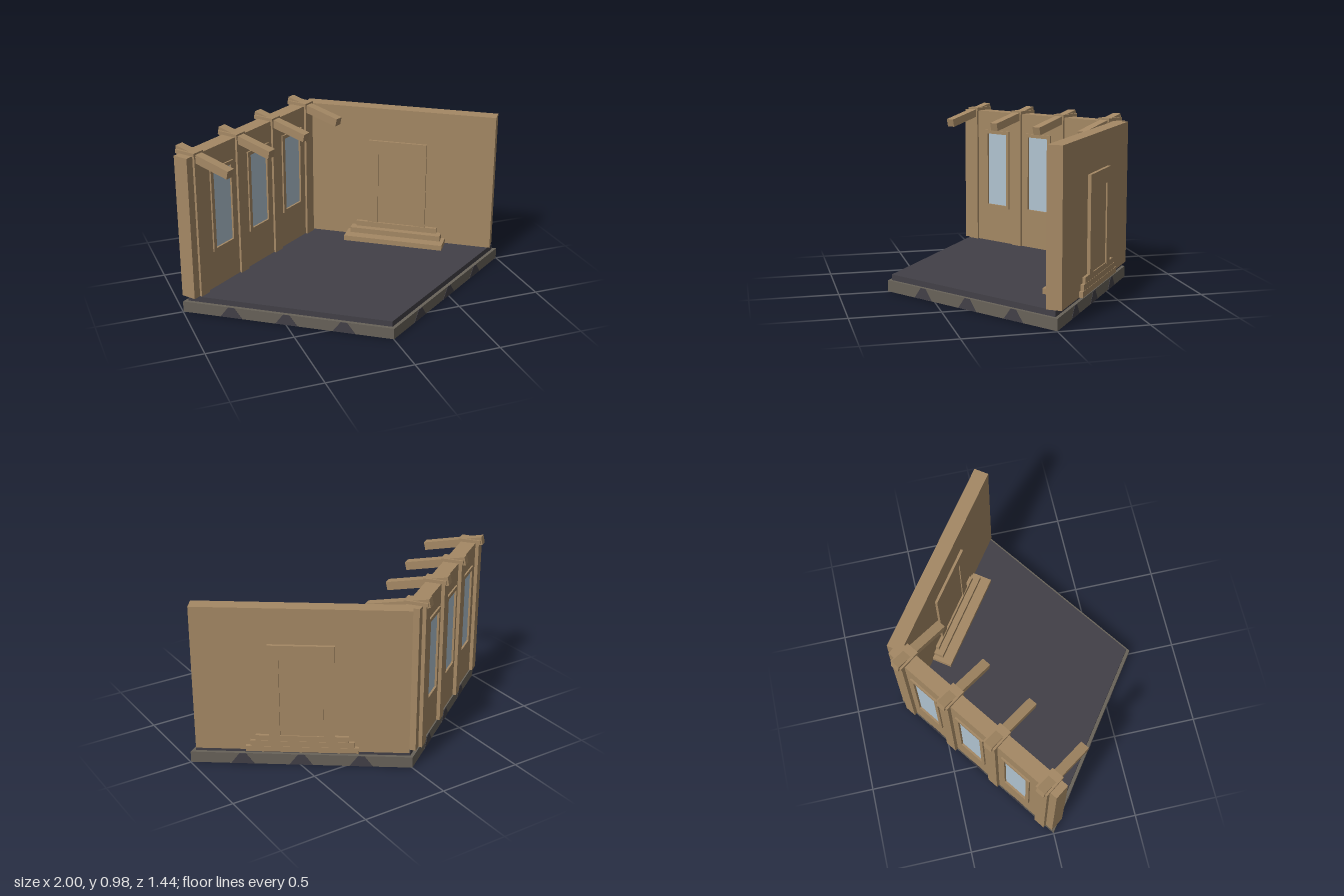
import * as THREE from 'three';

const mat = (name, color) => {
  const m = new THREE.MeshStandardMaterial({ color });
  m.name = name;
  return m;
};

export function createModel() {
  const model = new THREE.Group();
  model.name = 'roomCorner';
  const plaster = mat('sandPlaster', 0xa48864);
  const floorMat = mat('darkFloor', 0x424047);
  const stone = mat('greyStone', 0x686259);
  const glass = mat('paleGlass', 0xb0c3d0);
  const DEPTH = 0.72;               // z to x ratio of the diamond plan
  const TURN = Math.atan(DEPTH);    // direction of the plan edges

  const add = (parent, name, geo, material, x = 0, y = 0, z = 0) => {
    const m = new THREE.Mesh(geo, material);
    m.name = name;
    m.position.set(x, y, z);
    parent.add(m);
    return m;
  };
  // Box given by its limits
  const box = (parent, name, material, x0, x1, y0, y1, z0, z1) =>
    add(parent, name, new THREE.BoxGeometry(x1 - x0, y1 - y0, z1 - z0), material,
      (x0 + x1) / 2, (y0 + y1) / 2, (z0 + z1) / 2);
  const rect = (Type, x0, x1, y0, y1) => new Type([
    [x0, y0], [x1, y0], [x1, y1], [x0, y1]].map(p => new THREE.Vector2(...p)));
  const extrude = (shape, depth) =>
    new THREE.ExtrudeGeometry(shape, { depth, bevelEnabled: false });

  // Diamond slabs
  const slab = (name, r, y0, y1, material) => {
    const g = new THREE.CylinderGeometry(r, r, y1 - y0, 4).toNonIndexed();
    g.scale(1, 1, DEPTH);
    g.computeVertexNormals();
    add(model, name, g, material, 0, (y0 + y1) / 2, 0);
  };
  slab('stoneBase', 0.998, 0.002, 0.067, stone);
  slab('floor', 0.965, 0.067, 0.1, floorMat);

  // Dark patches along the four base edges
  const patch = new THREE.Shape([[-0.065, 0.003], [0.065, 0.003], [0.018, 0.066], [-0.018, 0.066]]
    .map(p => new THREE.Vector2(...p)));
  for (const sx of [-1, 1]) for (const sz of [-1, 1]) for (const t of [0.236, 0.5, 0.77]) {
    const p = add(model, 'basePatch', extrude(patch, 0.002), floorMat,
      sx * (1 - t) * 0.998, 0, sz * t * DEPTH * 0.998);
    p.rotation.y = Math.atan2(sx * DEPTH, sz);
  }

  // Wavy dark bands under the base
  for (let i = 0; i < 5; i++) {
    const g = new THREE.PlaneGeometry(1, 1, 24, 1);
    const pos = g.attributes.position;
    for (let k = 0; k < pos.count; k++) {
      const a = pos.getX(k) * 1.9;
      const half = 0.1 + 0.05 * Math.sin(a * 4 + i * 2);
      const b = -0.76 + i * 0.38 + 0.07 * Math.sin(a * 3 + i) + Math.sign(pos.getY(k)) * half;
      pos.setXYZ(k, (a + b) / 2, 0.0005, (b - a) / 2 * DEPTH);
    }
    g.computeVertexNormals();
    add(model, 'underBand', g, floorMat);
  }

  // Window wall: local x runs along the wall, local z points into the room
  const windowWall = new THREE.Group();
  windowWall.name = 'windowWall';
  windowWall.rotation.y = TURN;
  model.add(windowWall);
  const windows = [-0.52, -0.186, 0.147];
  const panel = rect(THREE.Shape, -0.8, 0.4, 0.1, 0.945);
  for (const u of windows) panel.holes.push(rect(THREE.Path, u - 0.09, u + 0.09, 0.34, 0.81));
  add(windowWall, 'wallPanel', extrude(panel, 0.09), plaster, 0, 0, -0.592);
  for (const u of windows) {
    const frame = rect(THREE.Shape, u - 0.1, u + 0.1, 0.325, 0.825);
    frame.holes.push(rect(THREE.Path, u - 0.077, u + 0.077, 0.343, 0.803));
    add(windowWall, 'windowFrame', extrude(frame, 0.11), plaster, 0, 0, -0.602);
    box(windowWall, 'windowGlass', glass, u - 0.079, u + 0.079, 0.341, 0.805, -0.59, -0.504);
  }

  // Posts with caps and sloping beams
  for (const u of [-0.718, -0.353, -0.018, 0.317]) {
    box(windowWall, 'post', plaster, u - 0.035, u + 0.035, 0.1, 0.945, -0.613, -0.488);
    box(windowWall, 'postCap', plaster, u - 0.039, u + 0.039, 0.943, 0.963, -0.62, -0.487);
    const beam = add(windowWall, 'roofBeam', new THREE.BoxGeometry(0.053, 0.048, 0.365),
      plaster, u, 0.92, -0.45);
    beam.rotation.x = 0.22;
  }

  // Door wall
  const doorWall = new THREE.Group();
  doorWall.name = 'doorWall';
  doorWall.rotation.y = -TURN;
  model.add(doorWall);
  box(doorWall, 'wallPanel', plaster, -0.4, 0.776, 0.1, 0.945, -0.594, -0.508);
  const C = 0.186;
  const door = new THREE.Shape([[-0.18, 0.19], [-0.12, 0.19], [-0.12, 0.655], [0.12, 0.655],
    [0.12, 0.19], [0.18, 0.19], [0.18, 0.74], [-0.18, 0.74]].map(p => new THREE.Vector2(...p)));
  add(doorWall, 'doorFrame', extrude(door, 0.12), plaster, C, 0, -0.613);
  box(doorWall, 'doorLeaf', plaster, C - 0.119, C + 0.119, 0.19, 0.654, -0.605, -0.499);

  // Door steps, shallow outside and deeper in the room
  [[0.31, 0.1, 0.132, -0.615, -0.388],
    [0.285, 0.132, 0.165, -0.613, -0.45],
    [0.255, 0.165, 0.198, -0.611, -0.488]].forEach(([half, y0, y1, z0, z1]) =>
    box(doorWall, 'doorStep', plaster, C - half, C + half, y0, y1, z0, z1));

  return model;
}
